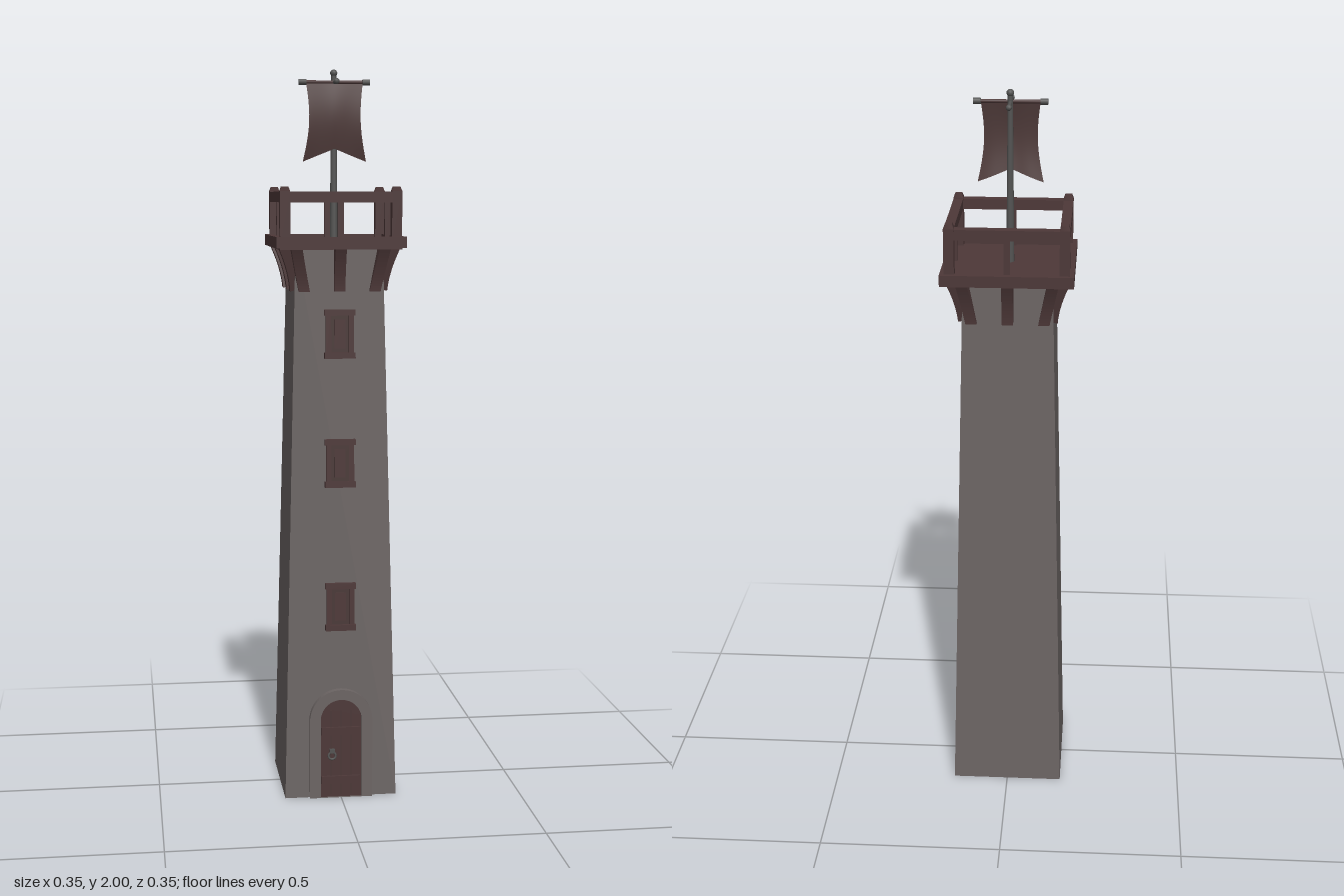
import * as THREE from 'three';

const mat = (name, color) => Object.assign(new THREE.MeshStandardMaterial({ color }), { name });

export function createModel() {
  const stone = mat('stone', 0x6c6564);
  const wood = mat('dark wood', 0x4d3838);
  const pane = mat('shutter wood', 0x493836);
  const iron = mat('iron', 0x545453);
  const cloth = mat('banner cloth', 0x4f3b3a);
  cloth.side = THREE.DoubleSide;

  const root = new THREE.Group();
  root.name = 'watchtower';
  const add = (name, geo, m, x = 0, y = 0, z = 0, parent = root) => {
    const mesh = new THREE.Mesh(geo, m);
    mesh.name = name;
    mesh.position.set(x, y, z);
    parent.add(mesh);
    return mesh;
  };
  const box = (name, w, h, d, m, x, y, z, parent) =>
    add(name, new THREE.BoxGeometry(w, h, d), m, x, y, z, parent);
  const rod = (name, r1, r2, len, m, x, y, z, parent) =>
    add(name, new THREE.CylinderGeometry(r1, r2, len, 10), m, x, y, z, parent);
  const wallZ = (y) => 0.155 - 0.0238 * y;

  // Hollow square shaft, tapering upward
  const S = Math.SQRT2;
  const profile = [[0.141, 0], [0.155, 0], [wallZ(1.53), 1.53], [0.106, 1.53], [0.141, 0]]
    .map(([r, y]) => new THREE.Vector2(r * S, y));
  const shaft = new THREE.LatheGeometry(profile, 4, Math.PI / 4).toNonIndexed();
  shaft.computeVertexNormals();
  add('towerShaft', shaft, stone);

  // Arched doorway
  const arch = (s, r, top) => {
    const spring = top - r;
    s.moveTo(-r, 0);
    s.lineTo(r, 0);
    s.lineTo(r, spring);
    s.absarc(0, spring, r, 0, Math.PI, false);
    s.lineTo(-r, 0);
    return s;
  };
  const extrude = (shape, depth) =>
    new THREE.ExtrudeGeometry(shape, { depth, bevelEnabled: false, curveSegments: 16 });
  const door = new THREE.Group();
  door.name = 'doorway';
  root.add(door);
  const surround = arch(new THREE.Shape(), 0.087, 0.308);
  surround.holes.push(arch(new THREE.Path(), 0.057, 0.28));
  add('stoneArch', extrude(surround, 0.026), stone, 0, 0, 0.14, door);
  add('doorLeaf', extrude(arch(new THREE.Shape(), 0.057, 0.28), 0.03), wood, 0, 0, 0.128, door);
  for (const x of [-0.028, 0, 0.028])
    box('plankSeam', 0.003, 0.24, 0.004, pane, x, 0.128, 0.159, door);
  for (const y of [0.05, 0.19])
    box('doorBrace', 0.108, 0.022, 0.008, wood, 0, y, 0.161, door);
  for (const x of [-0.048, 0.048])
    box('innerDoorPost', 0.022, 0.25, 0.02, wood, x, 0.127, 0.122, door);
  const ring = add('doorRing', new THREE.TorusGeometry(0.01, 0.003, 8, 16), iron, -0.025, 0.12, 0.163, door);
  ring.rotation.x = -0.1;
  box('doorLatch', 0.014, 0.012, 0.008, iron, -0.025, 0.133, 0.161, door);

  // Framed windows, leaning with the wall
  for (const y of [0.54, 0.938, 1.29]) {
    const win = new THREE.Group();
    win.name = 'window';
    win.position.set(0, y, wallZ(y));
    win.rotation.x = -0.0238;
    root.add(win);
    box('windowPane', 0.052, 0.1, 0.008, pane, 0, 0, 0.001, win);
    box('shutterPanel', 0.03, 0.078, 0.006, wood, 0, 0, 0.005, win);
    for (const s of [-1, 1])
      box('windowJamb', 0.014, 0.125, 0.018, wood, s * 0.031, 0, 0.003, win);
    box('windowLintel', 0.084, 0.016, 0.022, wood, 0, 0.058, 0.003, win);
    box('windowSill', 0.084, 0.016, 0.026, wood, 0, -0.058, 0.003, win);
  }

  // Platform with raised rim
  box('platformFloor', 0.33, 0.022, 0.33, wood, 0, 1.529, 0);

  // Curved bracket, outer ones fanned away from the middle
  const bracketGeo = (x0, lean) => {
    const s = new THREE.Shape();
    s.moveTo(0.108, 1.41);
    s.lineTo(0.132, 1.405);
    s.quadraticCurveTo(0.136, 1.46, 0.166, 1.525);
    s.lineTo(0.108, 1.525);
    s.closePath();
    const g = extrude(s, 0.03);
    g.translate(0, 0, -0.015);
    g.rotateY(-Math.PI / 2);
    const p = g.attributes.position;
    for (let i = 0; i < p.count; i++)
      p.setX(i, p.getX(i) + x0 + lean * (p.getY(i) - 1.41));
    g.computeVertexNormals();
    return g;
  };

  // One side of the gallery, repeated four times
  for (let i = 0; i < 4; i++) {
    const side = new THREE.Group();
    side.name = 'gallerySide';
    side.rotation.y = i * Math.PI / 2;
    root.add(side);
    box('platformRim', 0.35, 0.03, 0.02, wood, 0, 1.537, 0.165, side);
    box('handrail', 0.3, 0.028, 0.026, wood, 0, 1.657, 0.15, side);
    box('middlePost', 0.016, 0.11, 0.016, wood, 0, 1.592, 0.15, side);
    box('cornerPost', 0.027, 0.135, 0.027, wood, 0.15, 1.605, 0.15, side);
    add('postCap', new THREE.CylinderGeometry(0.013, 0.0191, 0.012, 4, 1).rotateY(Math.PI / 4),
      wood, 0.15, 1.6785, 0.15, side);
    for (const k of [-1, 0, 1])
      add('bracket', bracketGeo(k * 0.097, k * 0.2), wood, 0, 0, 0, side);
  }

  // Mast with crossed arms
  const mast = new THREE.Group();
  mast.name = 'mast';
  root.add(mast);
  rod('mastPole', 0.007, 0.011, 0.455, iron, 0, 1.7675, 0, mast);
  add('mastTip', new THREE.SphereGeometry(0.01, 12, 8), iron, 0, 1.99, 0, mast);
  rod('crossArm', 0.005, 0.005, 0.13, iron, 0, 1.965, 0, mast).rotation.x = Math.PI / 2;
  rod('bannerArm', 0.005, 0.005, 0.19, wood, 0, 1.965, 0.014, mast).rotation.z = Math.PI / 2;
  for (const s of [-1, 1]) {
    add('armKnob', new THREE.SphereGeometry(0.008, 10, 8), iron, 0, 1.965, s * 0.063, mast);
    rod('armBinding', 0.008, 0.008, 0.02, iron, s * 0.087, 1.965, 0.014, mast).rotation.z = Math.PI / 2;
  }

  // Swallow-tailed hanging banner, billowing forward
  const flag = new THREE.PlaneGeometry(1, 1, 16, 12);
  const p = flag.attributes.position;
  for (let i = 0; i < p.count; i++) {
    const u = p.getX(i) * 2, v = 0.5 - p.getY(i);
    const half = 0.078 - 0.012 * Math.sin(Math.PI * v) + 0.009 * v;
    const length = 0.18 + 0.035 * Math.abs(u);
    p.setXYZ(i, u * half, 1.967 - v * length,
      0.015 + 0.012 * Math.sin(Math.PI * v) + 0.003 * Math.cos(u * 5) * v);
  }
  flag.computeVertexNormals();
  add('banner', flag, cloth, 0, 0, 0, mast);

  return root;
}
